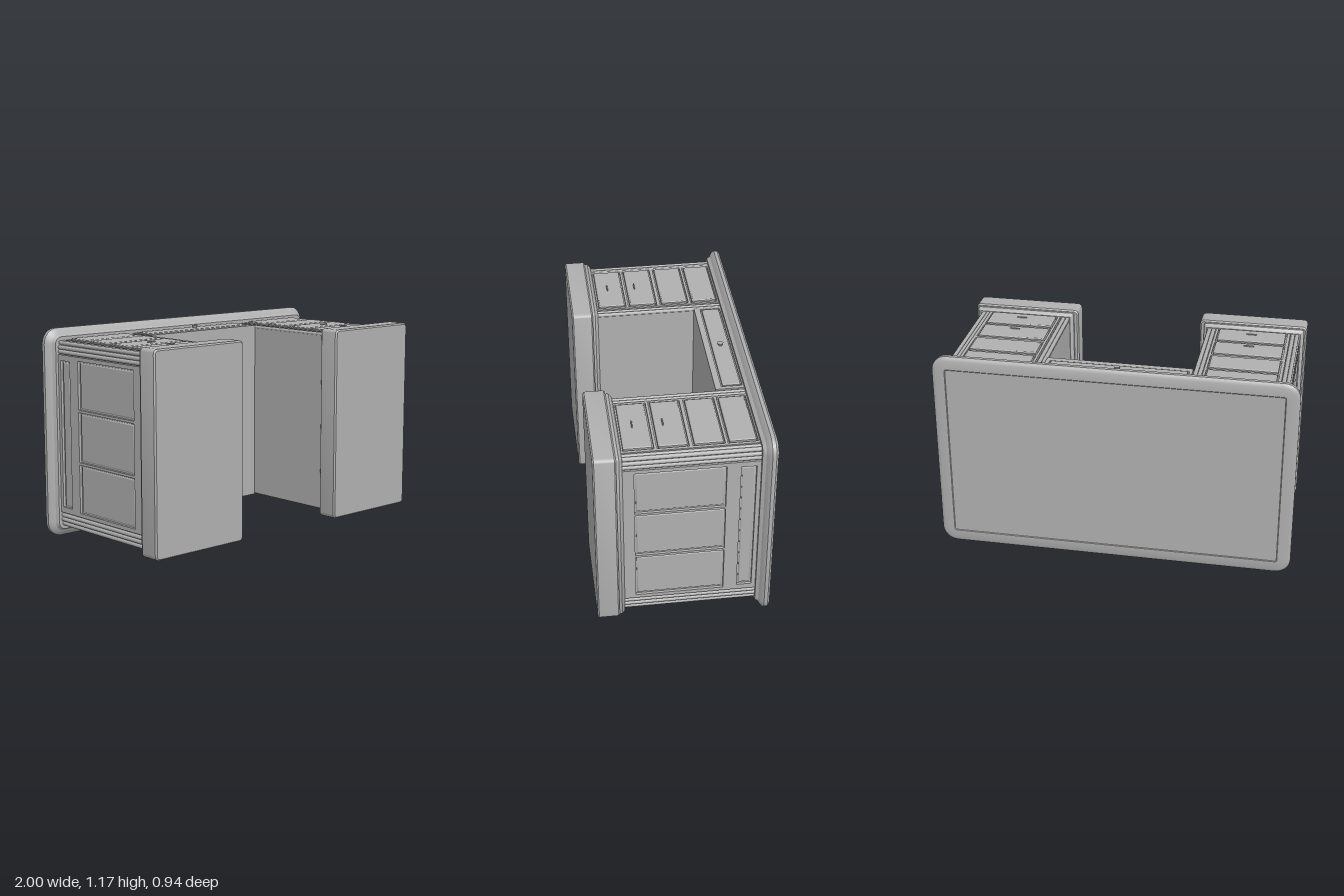
import * as THREE from 'three';
import { toCreasedNormals } from 'three/addons/utils/BufferGeometryUtils.js';

const wood = new THREE.MeshStandardMaterial({ color: 0xb0b0b0 });
wood.name = 'grey wood';
const MID = 0.585; // middle of the desk's depth, which runs along y

function add(parent, name, geo, x = 0, y = 0, z = 0) {
  const m = new THREE.Mesh(geo, wood);
  m.name = name;
  m.position.set(x, y, z);
  parent.add(m);
  return m;
}

// Rounded rectangle [x0, y0, x1, y1] lofted along z; profile rows are [z, inset]
function loft([x0, y0, x1, y1], radius, profile, seg = 5) {
  const pos = [], idx = [], n = 4 * (seg + 1);
  const cx = (x0 + x1) / 2, cy = (y0 + y1) / 2;
  for (const [z, inset] of profile) {
    const r = Math.max(radius - inset, 0.002);
    const hx = (x1 - x0) / 2 - inset - r, hy = (y1 - y0) / 2 - inset - r;
    for (let c = 0; c < 4; c++) for (let k = 0; k <= seg; k++) {
      const a = (c + k / seg) * Math.PI / 2;
      const sx = c === 0 || c === 3 ? 1 : -1, sy = c < 2 ? 1 : -1;
      pos.push(cx + sx * hx + r * Math.cos(a), cy + sy * hy + r * Math.sin(a), z);
    }
  }
  const last = (profile.length - 1) * n, c0 = pos.length / 3;
  pos.push(cx, cy, profile[0][0], cx, cy, profile[profile.length - 1][0]);
  for (let j = 0; j < n; j++) {
    const k = (j + 1) % n;
    for (let i = 0; i < last; i += n) idx.push(i + j, i + k, i + n + k, i + j, i + n + k, i + n + j);
    idx.push(c0, k, j, c0 + 1, last + j, last + k);
  }
  const g = new THREE.BufferGeometry();
  g.setAttribute('position', new THREE.Float32BufferAttribute(pos, 3));
  g.setIndex(idx);
  return toCreasedNormals(g, 0.5);
}

// Flat frame with rectangular openings, each slightly larger than its panel
function frame([x0, y0, x1, y1], panels, depth, gap = 0.008) {
  const s = new THREE.Shape([[x0, y0], [x1, y0], [x1, y1], [x0, y1]].map(p => new THREE.Vector2(...p)));
  for (const [a, b, c, d] of panels) {
    const e = gap;
    s.holes.push(new THREE.Path([[a - e, b - e], [a - e, d + e], [c + e, d + e], [c + e, b - e]]
      .map(p => new THREE.Vector2(...p))));
  }
  return new THREE.ExtrudeGeometry(s, { depth, bevelEnabled: false });
}

// Framed face: the frame plus one bevelled panel in each opening
function face(parent, name, outer, panels, depth, height) {
  const g = new THREE.Group();
  g.name = name;
  add(g, name + 'Frame', frame(outer, panels, depth));
  for (const p of panels) {
    add(g, name + 'Panel', loft(p, 0.003, [[0, 0], [height - 0.005, 0], [height, 0.006]], 1));
  }
  parent.add(g);
  return g;
}

// Rectangle whose first axis may have been mirrored
const rect = (a, b, c, d) => [Math.min(a, c), Math.min(b, d), Math.max(a, c), Math.max(b, d)];

function pedestal(s) {
  const g = new THREE.Group();
  g.name = s > 0 ? 'leftPedestal' : 'rightPedestal';
  add(g, 'carcass', new THREE.BoxGeometry(0.52, 1.01, 0.75), s * 0.665, MID, -0.03);

  // Plinth and the moulding above it
  add(g, 'plinth', loft(rect(s * 0.36, 0.04, s * 0.975, 1.135), 0.025,
    [[0.35, 0.008], [0.358, 0], [0.462, 0], [0.47, 0.008]]));
  add(g, 'plinthMoulding', loft(rect(s * 0.385, 0.045, s * 0.96, 1.125), 0.015,
    [[0.318, 0.018], [0.328, 0.006], [0.335, 0], [0.352, 0]]));

  // Four drawers on the sitting side
  const rows = [[-0.38, -0.24], [-0.21, -0.06], [-0.025, 0.125], [0.155, 0.305]];
  const drawers = rows.map(([a, b]) => rect(s * 0.482, -a, s * 0.86, -b));
  const front = face(g, 'drawerFront', rect(s * 0.46, -0.335, s * 0.885, 0.4), drawers, 0.015, 0.024);
  front.rotation.x = -Math.PI / 2;
  front.position.y = 1.09;
  for (const z of [0.08, 0.24]) {
    const pull = add(g, 'drawerPull', new THREE.CapsuleGeometry(0.004, 0.05, 3, 6), s * 0.67, 1.119, z);
    pull.rotation.z = Math.PI / 2;
  }

  // One large sunken panel on the visitor side
  const back = face(g, 'backFace', rect(s * 0.46, -0.4, s * 0.885, 0.335),
    [rect(s * 0.51, -0.34, s * 0.835, 0.27)], 0.016, 0.007);
  back.rotation.x = Math.PI / 2;
  back.position.y = 0.08;

  // Outer side: three wide panels and a narrow one under the top
  const wide = [[0.175, 0.43], [0.46, 0.72], [0.75, 1.0]].map(([a, b]) => rect(-s * 0.25, a, s * 0.21, b));
  const side = face(g, 'outerSide', rect(-s * 0.335, 0.145, s * 0.4, 1.03),
    [...wide, rect(s * 0.3, 0.185, s * 0.365, 0.99)], 0.015, 0.007);
  side.rotation.y = s * Math.PI / 2;
  side.position.x = s * 0.925;

  // Reeded corner posts
  const reed = (x, y) => {
    const m = add(g, 'cornerReed', new THREE.CylinderGeometry(0.012, 0.012, 0.73, 10), s * x, y, -0.035);
    m.rotation.x = Math.PI / 2;
  };
  for (const d of [-1, 1]) {
    for (const x of [0.419, 0.443, 0.898, 0.922]) reed(x, MID + d * 0.508);
    for (const y of [0.483, 0.459]) reed(0.927, MID + d * y);
  }
  return g;
}

export function createModel() {
  const desk = new THREE.Group();
  desk.name = 'desk';

  // Moulded top with a faint inlaid border line
  add(desk, 'deskTop', loft([-1, 0, 1, 1.17], 0.085, [
    [-0.471, 0.085], [-0.471, 0.077], [-0.474, 0.073], [-0.474, 0.022], [-0.468, 0.008],
    [-0.458, 0], [-0.438, 0], [-0.425, 0.012], [-0.413, 0.034], [-0.395, 0.045]], 6));

  for (const s of [-1, 1]) desk.add(pedestal(s));

  // Middle section bridging the kneehole, panelled on both sides
  add(desk, 'middleCarcass', new THREE.BoxGeometry(0.83, 1.02, 0.16), 0, MID, -0.32);
  const drawer = [-0.38, 0.282, 0.375, 0.38];
  const front = face(desk, 'middleDrawer', [-0.405, 0.24, 0.405, 0.4], [drawer], 0.012, 0.018);
  front.rotation.x = -Math.PI / 2;
  front.position.y = 1.095;
  const back = face(desk, 'middleBack', [-0.405, -0.4, 0.405, -0.24], [[-0.37, -0.37, 0.37, -0.285]], 0.012, 0.005);
  back.rotation.x = Math.PI / 2;
  back.position.y = 0.075;
  add(desk, 'middleKnob', new THREE.CylinderGeometry(0.018, 0.01, 0.018, 8), 0, 1.121, -0.33);
  return desk;
}
